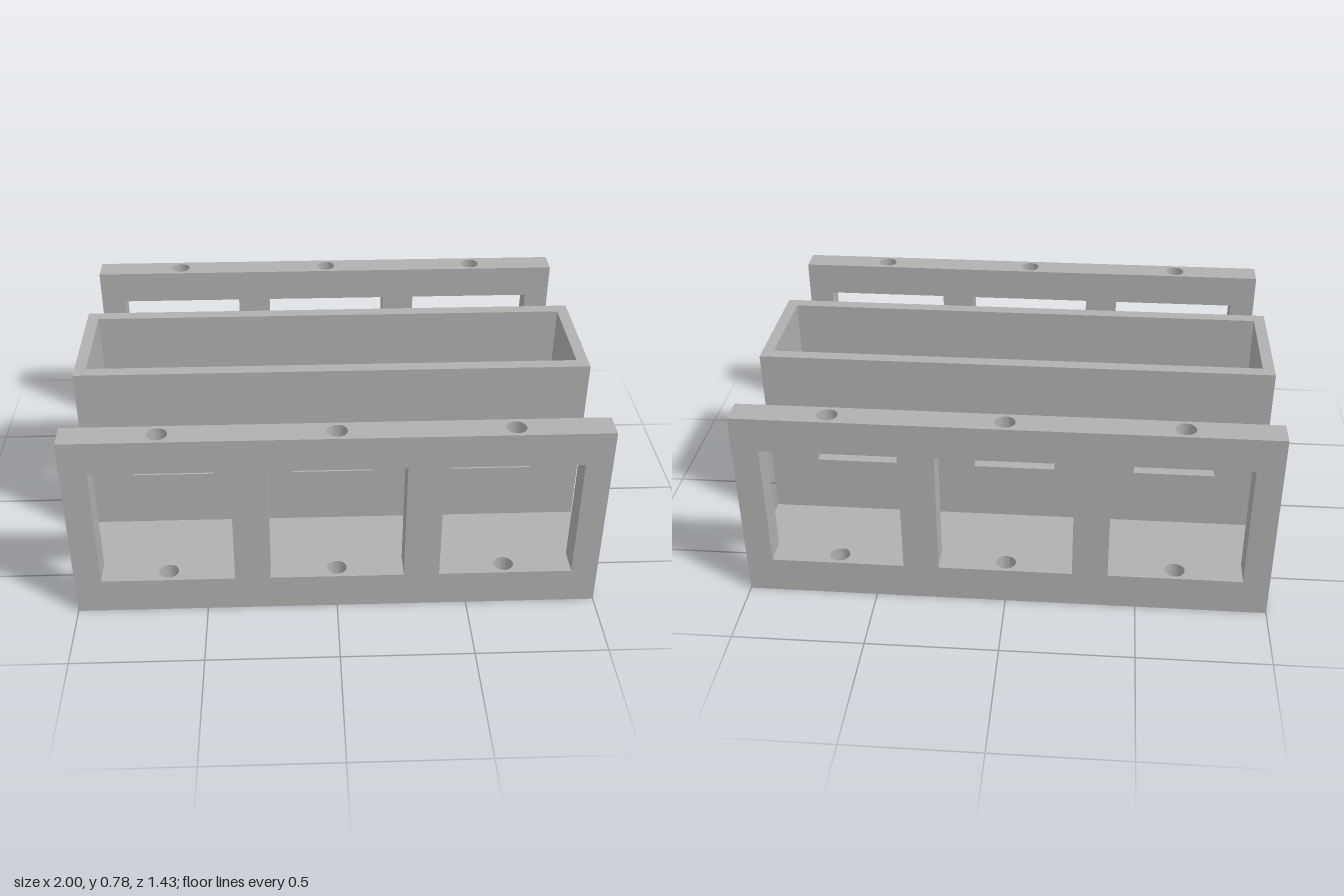
import * as THREE from 'three';
import { toCreasedNormals } from 'three/addons/utils/BufferGeometryUtils.js';

const WIDTH = 2, DEPTH = 1.43, HEIGHT = 0.78, BASE = 0.07;
const BAYS = [-0.645, 0, 0.645];
const AXIS_Y = 0.395; // shared centre height of the openings

export function createModel() {
  const model = new THREE.Group();
  model.name = 'triple bay housing';
  const grey = new THREE.MeshStandardMaterial({ color: 0xb0b0b0 });
  grey.name = 'plain grey';

  const add = (parent, name, geometry, x, y, z) => {
    const mesh = new THREE.Mesh(geometry, grey);
    mesh.name = name;
    mesh.position.set(x, y, z);
    parent.add(mesh);
    return mesh;
  };

  const group = (name) => {
    const g = new THREE.Group();
    g.name = name;
    model.add(g);
    return g;
  };

  const box = (w, h, d) => new THREE.BoxGeometry(w, h, d);

  const rectangle = (path, x, y, w, h) => {
    path.moveTo(x - w / 2, y - h / 2);
    path.lineTo(x + w / 2, y - h / 2);
    path.lineTo(x + w / 2, y + h / 2);
    path.lineTo(x - w / 2, y + h / 2);
    path.closePath();
    return path;
  };
  const slot = (x, y, w, h) => rectangle(new THREE.Path(), x, y, w, h);
  const circle = (x, y, r) => new THREE.Path().absarc(x, y, r, 0, Math.PI * 2, true);

  // Pierced plate centred on the origin, its thickness along the given axis
  const plate = (w, h, thickness, holes, axis) => {
    const shape = rectangle(new THREE.Shape(), 0, 0, w, h);
    shape.holes.push(...holes);
    const extruded = new THREE.ExtrudeGeometry(shape, {
      depth: thickness, bevelEnabled: false, curveSegments: 32,
    });
    extruded.translate(0, 0, -thickness / 2);
    if (axis === 'x') extruded.rotateY(Math.PI / 2);
    if (axis === 'y') extruded.rotateX(-Math.PI / 2);
    return toCreasedNormals(extruded, 0.6);
  };

  // Base
  add(model, 'base plate', box(WIDTH, BASE, DEPTH), 0, BASE / 2, 0);

  // Outer frames with three windows and pin holes above and below each
  const wall = 0.105, sillTop = 0.145, lintel = 0.645, windowWidth = 0.51;
  const pinHoles = () => BAYS.map((x) => circle(x, 0, 0.038));
  const edges = [-1, ...BAYS.flatMap((x) => [x - windowWidth / 2, x + windowWidth / 2]), 1];
  for (const side of [1, -1]) {
    const frame = group(side > 0 ? 'front frame' : 'back frame');
    const z = side * (DEPTH / 2 - wall / 2);
    add(frame, 'sill rail', plate(WIDTH, wall, sillTop - BASE, pinHoles(), 'y'), 0, (BASE + sillTop) / 2, z);
    add(frame, 'top rail', plate(WIDTH, wall, HEIGHT - lintel, pinHoles(), 'y'), 0, (HEIGHT + lintel) / 2, z);
    for (let i = 0; i < edges.length; i += 2) {
      add(frame, 'post', box(edges[i + 1] - edges[i], lintel - sillTop, wall),
        (edges[i] + edges[i + 1]) / 2, (sillTop + lintel) / 2, z);
    }
  }

  // Central open-topped trough
  const trough = group('central trough');
  const rise = HEIGHT - BASE, middle = (HEIGHT + BASE) / 2;
  const slotW = 0.325, slotH = 0.18, skin = 0.05, end = 0.045;
  for (const side of [1, -1]) {
    const slots = BAYS.map((x) => slot(x, AXIS_Y - middle, slotW, slotH));
    add(trough, 'slotted wall', plate(WIDTH, rise, skin, slots, 'z'), 0, middle, side * 0.225);
    const bore = [circle(0, AXIS_Y - middle, 0.055)];
    add(trough, 'end wall', plate(0.4, rise, end, bore, 'x'), side * (1 - end / 2), middle, 0);
  }

  // Tunnels joining the opposite slots, bored through along the trough
  for (const x of BAYS) {
    const tunnel = group('slot tunnel');
    for (const side of [1, -1]) {
      add(tunnel, 'tunnel deck', box(slotW, end, 0.4), x, AXIS_Y + side * (slotH + end) / 2, 0);
      add(tunnel, 'tunnel cheek', plate(0.4, slotH + 2 * end, end, [circle(0, 0, 0.055)], 'x'),
        x + side * (slotW + end) / 2, AXIS_Y, 0);
    }
  }

  return model;
}
